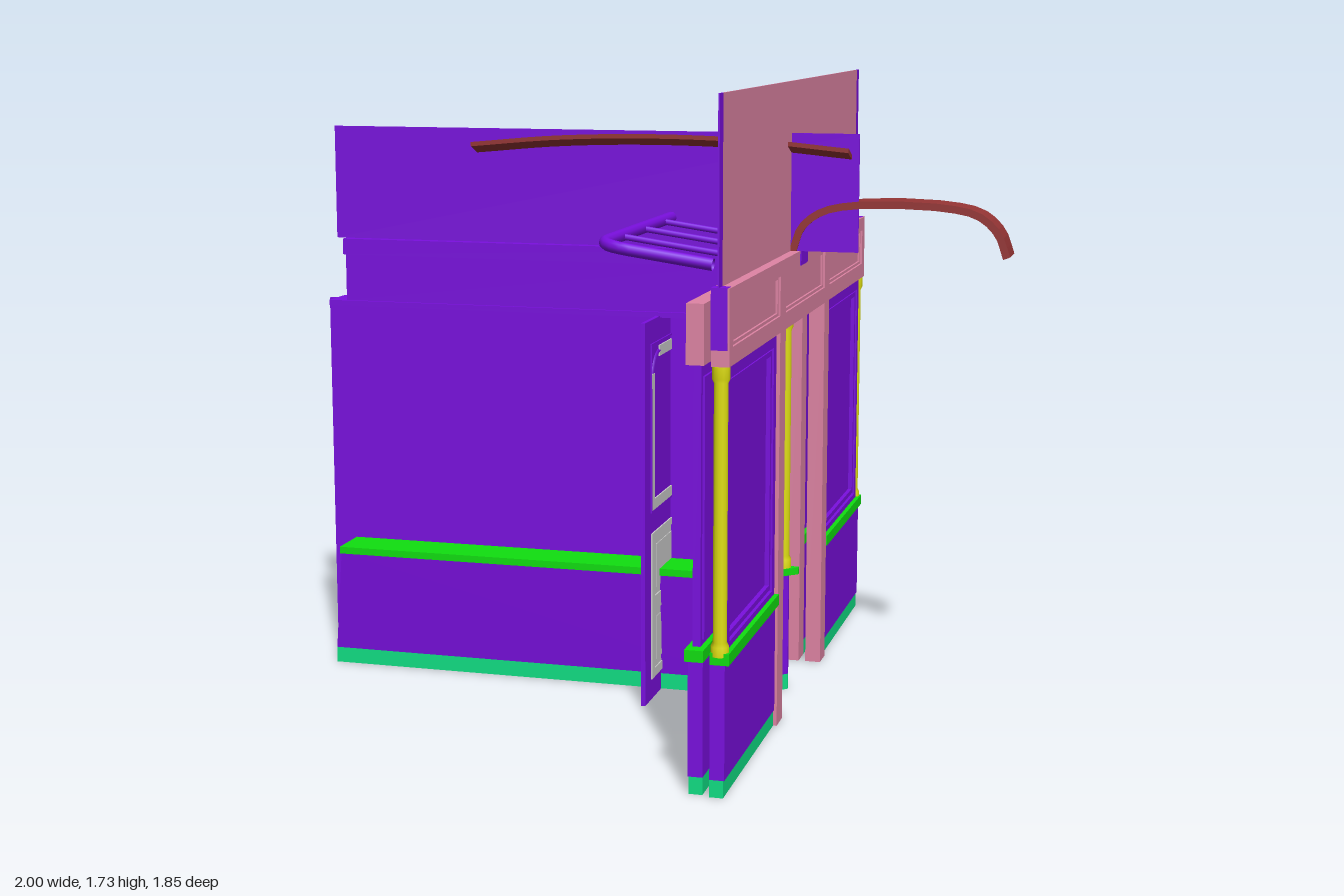
import * as THREE from 'three';

const mat = (color) => new THREE.MeshStandardMaterial({ color, side: THREE.DoubleSide });
const PURPLE = mat(0x7a0fdf), PINK = mat(0xdf84a4), GREEN = mat(0x10df10), TEAL = mat(0x10df84);
const YELLOW = mat(0xdfdf10), BROWN = mat(0x963535), GREY = mat(0xcccccc);

function add(parent, name, geometry, material) {
  const mesh = new THREE.Mesh(geometry, material);
  mesh.name = name;
  parent.add(mesh);
  return mesh;
}

// Box given by its limits
function box(parent, name, material, x0, x1, y0, y1, z0, z1) {
  const m = add(parent, name, new THREE.BoxGeometry(x1 - x0, y1 - y0, z1 - z0), material);
  m.position.set((x0 + x1) / 2, (y0 + y1) / 2, (z0 + z1) / 2);
  return m;
}

function rectPath(P, [x0, x1, y0, y1]) {
  const p = new P();
  p.moveTo(x0, y0);
  p.lineTo(x1, y0);
  p.lineTo(x1, y1);
  p.lineTo(x0, y1);
  p.closePath();
  return p;
}

// Flat board with rectangular openings, in the xy plane from z0 to z1
function board(parent, name, material, rect, holes, z0, z1) {
  const s = rectPath(THREE.Shape, rect);
  holes.forEach((h) => s.holes.push(rectPath(THREE.Path, h)));
  const m = add(parent, name, new THREE.ExtrudeGeometry(s, { depth: z1 - z0, bevelEnabled: false }), material);
  m.position.z = z0;
  return m;
}

const inset = ([a, b, c, d], t) => [a + t, b - t, c + t, d - t];

// Column with a small foot and capital
function column(parent, x, z) {
  const pts = [[0.023, 0.36], [0.023, 0.385], [0.018, 0.395], [0.018, 1.04], [0.023, 1.05], [0.023, 1.08]];
  const m = add(parent, 'column', new THREE.LatheGeometry(pts.map((p) => new THREE.Vector2(...p)), 12), YELLOW);
  m.position.set(x, 0, z);
}

// Strip following a curve, with thickness t, extruded along z
function curvedStrip(parent, name, material, points, t, z0, z1) {
  const c = new THREE.CatmullRomCurve3(points.map(([x, y]) => new THREE.Vector3(x, y, 0)));
  const outer = [], inner = [];
  for (let i = 0; i <= 18; i++) {
    const p = c.getPoint(i / 18), d = c.getTangent(i / 18);
    outer.push(new THREE.Vector2(p.x, p.y));
    inner.unshift(new THREE.Vector2(p.x + d.y * t, p.y - d.x * t));
  }
  const g = new THREE.ExtrudeGeometry(new THREE.Shape([...outer, ...inner]), { depth: z1 - z0, bevelEnabled: false });
  g.translate(0, 0, z0);
  return add(parent, name, g, material);
}

// One skin of the shop front; local z points into the wall
function facadeLayer(root, name, x, turn, top, half, outer) {
  const g = new THREE.Group();
  g.name = name;
  g.position.x = x;
  g.rotation.y = turn;
  root.add(g);
  const h0 = 1.125, h1 = top - 0.04;
  const holes = [[-half + 0.04, -0.34, h0, h1], [-0.27, 0.27, h0, h1], [0.34, half - 0.04, h0, h1]];
  board(g, 'cornice', PINK, [-half, half, 1.08, top], holes, 0, 0.012);
  box(g, 'corniceBack', PINK, -half, half, 1.08, top, 0.012, 0.045);
  holes.forEach((h) => board(g, 'corniceMoulding', PINK, h, [inset(h, 0.008)], 0.006, 0.012));
  for (const s of [-1, 1]) {
    const side = (a, b) => (s > 0 ? [a, b] : [-b, -a]);
    box(g, 'pillar', PINK, ...side(0.27, 0.34), 0, 1.12, 0, 0.045);
    const win = [...side(0.37, 0.86), 0.385, 1.045];
    board(g, 'windowFrame', PURPLE, [...side(0.34, half - 0.035), 0.36, 1.08], [win], 0.01, 0.03);
    board(g, 'windowMoulding', PURPLE, inset(win, 0.006), [inset(win, 0.02)], 0.014, 0.03);
    box(g, 'windowPanel', PURPLE, win[0], win[1], win[2], win[3], 0.026, 0.036);
    box(g, 'rail', GREEN, ...side(0.34, half), 0.34, 0.37, -0.003, 0.045);
    box(g, 'lowerPanel', PURPLE, ...side(0.34, half), 0.045, 0.34, 0.007, 0.045);
    box(g, 'baseboard', TEAL, ...side(0.34, half), 0, 0.045, 0.01, 0.045);
    if (outer) {
      column(g, s * (half - 0.018), 0.024);
      box(g, 'corniceEnd', PURPLE, ...side(half - 0.035, half + 0.001), 1.12, top + 0.001, 0.005, 0.046);
    }
  }
}

// Plan outline with a chamfered end, extruded upwards; flare pushes the top outwards
function plinth(parent, name, material, y0, y1, grow, flare) {
  const pts = [[-0.96 + grow, 0], [-0.96 + grow, 0.1 + grow], [0.29, 0.1 + grow], [0.39 + grow, 0.01], [0.39 + grow, 0]];
  const s = new THREE.Shape(pts.map(([x, z]) => new THREE.Vector2(x, -z)));
  const geo = new THREE.ExtrudeGeometry(s, { depth: y1 - y0, bevelEnabled: false });
  geo.rotateX(-Math.PI / 2).translate(0, y0, 0);
  const p = geo.attributes.position;
  for (let i = 0; i < p.count; i++) {
    if (p.getY(i) < (y0 + y1) / 2) continue;
    if (p.getZ(i) > 0.05) p.setZ(i, p.getZ(i) + flare);
    if (p.getX(i) < 0) p.setX(i, p.getX(i) + flare * 1.5);
  }
  geo.computeVertexNormals();
  return add(parent, name, geo, material);
}

function partitionWall(root) {
  const g = new THREE.Group();
  g.name = 'partitionWall';
  root.add(g);
  box(g, 'wallPanel', PURPLE, -1, 0.36, 0, 1.08, -0.014, -0.002);
  plinth(g, 'baseboard', TEAL, 0, 0.045, 0, 0);
  plinth(g, 'lowerPanel', PURPLE, 0.045, 0.34, 0, 0.02);
  plinth(g, 'rail', GREEN, 0.34, 0.36, 0.028, 0);
  column(g, 0.298, 0.095);
  column(g, 0.375, 0.015);
  // Front cornice in stepped bands
  box(g, 'corniceBottom', PURPLE, -0.95, 0.27, 1.075, 1.09, 0, 0.115);
  box(g, 'cornice', PURPLE, -0.9, 0.27, 1.09, 1.225, 0.085, 0.105);
  box(g, 'corniceTop', PURPLE, -0.9, 0.27, 1.225, 1.27, 0.085, 0.125);
  box(g, 'corniceThrough', PURPLE, 0.27, 0.433, 1.23, 1.27, 0, 0.09);
  box(g, 'upperBoard', PURPLE, -0.93, 0.59, 1.27, 1.59, 0.088, 0.094);
  // Back cornice and raised panels
  const spans = [[-0.89, -0.52], [-0.46, -0.08], [-0.02, 0.32]];
  const holes = spans.map(([a, b]) => [a, b, 1.12, 1.2]);
  board(g, 'backCornice', PINK, [-0.92, 0.34, 1.08, 1.235], holes, -0.042, -0.03);
  box(g, 'backCorniceCore', PINK, -0.915, 0.34, 1.08, 1.235, -0.03, -0.01);
  for (const [a, b] of spans) {
    const r = [a, b, 0.71, 1.05];
    board(g, 'panelFrame', PURPLE, r, [inset(r, 0.02)], -0.028, -0.014);
    const q = inset(r, 0.035);
    board(g, 'panelField', PURPLE, q, [], -0.02, -0.014);
  }
}

function door(root) {
  const g = new THREE.Group();
  g.name = 'door';
  g.position.x = 0.04;
  g.rotation.y = -Math.PI / 2;
  root.add(g);
  box(g, 'doorLeaf', PURPLE, -0.27, 0.27, 0, 1.08, 0, 0.012);
  const z0 = -0.004, z1 = 0.016;
  // Window surround with arched upper corners
  for (const s of [-1, 1]) {
    box(g, 'windowStile', GREY, s * 0.195 - 0.015, s * 0.195 + 0.015, 0.545, 0.93, z0, z1);
    const arc = new THREE.QuadraticBezierCurve3(
      new THREE.Vector3(s * 0.195, 0.93, 0.006), new THREE.Vector3(s * 0.18, 0.98, 0.006), new THREE.Vector3(s * 0.12, 0.985, 0.006));
    add(g, 'windowArch', new THREE.TubeGeometry(arc, 8, 0.011, 6), PURPLE);
  }
  box(g, 'windowSill', GREY, -0.21, 0.21, 0.545, 0.575, z0, z1);
  box(g, 'windowHead', GREY, -0.13, 0.13, 0.97, 1.0, z0, z1);
  board(g, 'windowBead', PURPLE, [-0.215, 0.215, 0.54, 1.015], [[-0.21, 0.21, 0.545, 1.01]], z0, z1);
  // Lower panels
  const a = [-0.18, 0.18, 0.085, 0.25], b = [-0.18, 0.18, 0.295, 0.46];
  board(g, 'lowerFrame', GREY, [-0.21, 0.21, 0.06, 0.48], [a, b], z0, z1);
  for (const r of [a, b]) {
    box(g, 'lowerPanel', GREY, r[0], r[1], r[2], r[3], -0.001, 0.013);
    board(g, 'lowerField', GREY, inset(r, 0.02), [], -0.003, 0.015);
  }
  // Handles on both faces
  for (const z of [-0.012, 0.024]) {
    box(g, 'handle', PURPLE, -0.247, -0.235, 0.46, 0.56, z - 0.005, z + 0.005);
  }
  for (const y of [0.47, 0.55]) box(g, 'handlePost', PURPLE, -0.246, -0.236, y - 0.005, y + 0.005, -0.012, 0.024);
}

function rack(root) {
  const g = new THREE.Group();
  g.name = 'rack';
  root.add(g);
  const yAt = (x) => 1.355 - (x - 0.05) * 0.14;
  const V = (x, z) => new THREE.Vector3(x, yAt(x), z);
  // Bent outer rail
  const path = new THREE.CurvePath();
  path.add(new THREE.LineCurve3(V(0.36, -0.8), V(0.15, -0.8)));
  path.add(new THREE.QuadraticBezierCurve3(V(0.15, -0.8), V(0.066, -0.8), V(0.066, -0.71)));
  path.add(new THREE.LineCurve3(V(0.066, -0.71), V(0.066, 0.71)));
  path.add(new THREE.QuadraticBezierCurve3(V(0.066, 0.71), V(0.066, 0.8), V(0.15, 0.8)));
  path.add(new THREE.LineCurve3(V(0.15, 0.8), V(0.36, 0.8)));
  add(g, 'rackRail', new THREE.TubeGeometry(path, 90, 0.016, 10), PURPLE);
  for (let i = -3; i <= 3; i++) {
    const rung = new THREE.LineCurve3(V(0.066, i * 0.2), V(0.36, i * 0.2));
    add(g, 'rackRung', new THREE.TubeGeometry(rung, 1, 0.008, 8), PURPLE);
  }
}

export function createModel() {
  const root = new THREE.Group();
  root.name = 'shopFront';
  facadeLayer(root, 'outerFacade', 0.43, -Math.PI / 2, 1.27, 0.92, true);
  facadeLayer(root, 'innerFacade', 0.32, Math.PI / 2, 1.23, 0.91, false);
  // Tall thin board above the shop front
  box(root, 'upperFacade', PINK, 0.4, 0.404, 1.27, 1.73, -0.885, 0.885);
  for (const s of [-1, 1]) {
    box(root, 'upperFacadeEdge', PURPLE, 0.4, 0.404, 1.27, 1.73, s * 0.9025 - 0.0175, s * 0.9025 + 0.0175);
  }
  partitionWall(root);
  door(root);
  rack(root);
  // Curved bracket reaching out from the front
  const arch = [[0.4, 1.27], [0.425, 1.34], [0.48, 1.385], [0.57, 1.407], [0.82, 1.407], [0.92, 1.385], [0.975, 1.335], [1, 1.27]];
  curvedStrip(root, 'curvedBracket', BROWN, arch, 0.02, -0.005, 0.098);
  // Bowed moulding on the upper board, tilted outwards
  const bow = curvedStrip(root, 'bowedMoulding', BROWN, [[-0.5, 1.54], [-0.25, 1.562], [0.03, 1.57], [0.32, 1.562], [0.57, 1.54]], 0.012, 0.094, 0.145);
  const p = bow.geometry.attributes.position;
  for (let i = 0; i < p.count; i++) p.setY(i, p.getY(i) + (p.getZ(i) - 0.11) * 0.4);
  bow.geometry.computeVertexNormals();
  return root;
}
